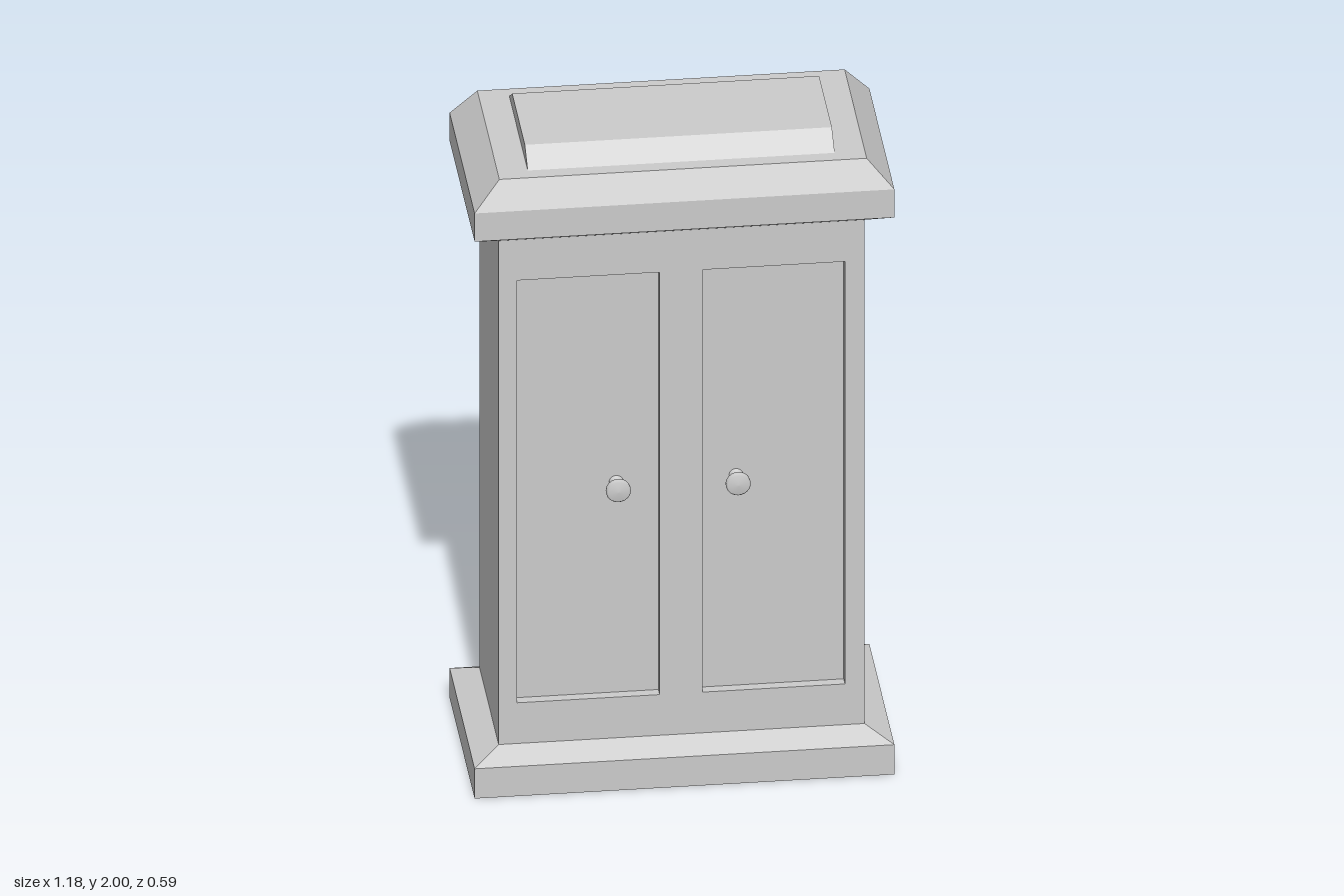
import * as THREE from 'three';

const grey = new THREE.MeshStandardMaterial({ color: 0xcccccc, flatShading: true });
const smoothGrey = new THREE.MeshStandardMaterial({ color: 0xcccccc });

// Stacks rectangular sections [halfX, y, halfZ] into a flat-faced moulding.
function loft(sections, capBottom, capTop) {
  const rings = sections.map(([x, y, z]) => [[-x, y, z], [x, y, z], [x, y, -z], [-x, y, -z]]);
  const points = [];
  const quad = (a, b, c, d) => points.push(...a, ...b, ...c, ...a, ...c, ...d);
  for (let i = 0; i < rings.length - 1; i++) {
    const low = rings[i], high = rings[i + 1];
    for (let k = 0; k < 4; k++) {
      const n = (k + 1) % 4;
      quad(low[k], low[n], high[n], high[k]);
    }
  }
  if (capBottom) quad(...[...rings[0]].reverse());
  if (capTop) quad(...rings[rings.length - 1]);
  const geometry = new THREE.BufferGeometry();
  geometry.setAttribute('position', new THREE.Float32BufferAttribute(points, 3));
  geometry.computeVertexNormals();
  return geometry;
}

// Closed rectangular outline between two corners.
function rectangle(PathClass, x0, y0, x1, y1) {
  const path = new PathClass();
  path.moveTo(x0, y0);
  path.lineTo(x1, y0);
  path.lineTo(x1, y1);
  path.lineTo(x0, y1);
  path.closePath();
  return path;
}

export function createModel() {
  const model = new THREE.Group();
  model.name = 'cabinet';
  const add = (name, geometry, material = grey) => {
    const mesh = new THREE.Mesh(geometry, material);
    mesh.name = name;
    model.add(mesh);
    return mesh;
  };

  const halfW = 0.516, halfD = 0.226, outW = 0.592, outD = 0.295;
  const bottom = 0.13, top = 1.74, recess = 0.03;

  // Plinth with a sloped upper edge
  add('base', loft([[outW, 0, outD], [outW, 0.095, outD], [halfW, bottom, halfD]], true, false));

  // Cabinet body behind the front; its front face forms the sunken door panels
  const carcass = add('carcass', new THREE.BoxGeometry(2 * halfW, top - bottom, 2 * halfD - recess));
  carcass.position.set(0, (top + bottom) / 2, -recess / 2);

  // Front frame with two door openings
  const frame = rectangle(THREE.Shape, -halfW, bottom, halfW, top);
  for (const [x0, x1] of [[-0.464, -0.062], [0.059, 0.461]]) {
    frame.holes.push(rectangle(THREE.Path, x0, 0.26, x1, 1.61));
  }
  const front = add('frontFrame', new THREE.ExtrudeGeometry(frame, { depth: recess, bevelEnabled: false }));
  front.position.z = halfD - recess;

  // Overhanging cornice, bevelled below and above
  add('cornice', loft([
    [halfW, top, halfD], [outW, 1.78, outD], [outW, 1.87, outD], [0.518, 1.955, 0.26],
  ], false, true));

  // Raised lid, sloped at front and back only
  add('lid', loft([[0.433, 1.955, 0.218], [0.433, 2, 0.15]], false, true));

  // Turned knobs: flange, thin stem and rounded disc
  const profile = [
    [0.02, 0], [0.02, 0.006], [0.012, 0.014], [0.012, 0.036], [0.03, 0.041],
    [0.035, 0.047], [0.035, 0.056], [0.03, 0.062], [0, 0.064],
  ].map(([r, y]) => new THREE.Vector2(r, y));
  const knobGeometry = new THREE.LatheGeometry(profile, 24).rotateX(Math.PI / 2);
  for (const [name, x] of [['rightKnob', -0.181], ['leftKnob', 0.157]]) {
    add(name, knobGeometry, smoothGrey).position.set(x, 0.932, halfD - recess);
  }

  return model;
}
